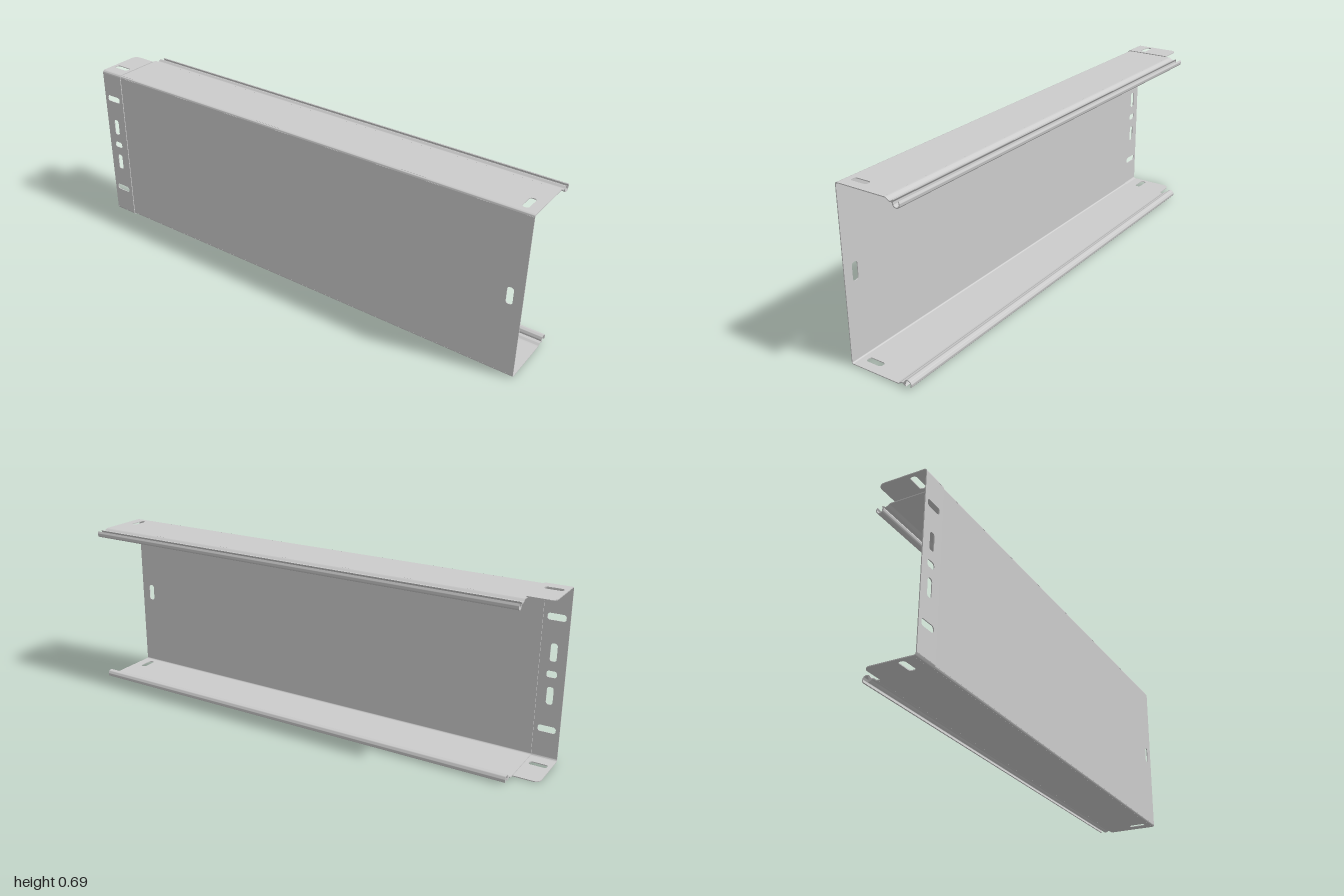
import * as THREE from 'three';
import { toCreasedNormals } from 'three/addons/utils/BufferGeometryUtils.js';

const T = 0.0035;            // sheet thickness
const H = 0.686;             // overall height
const BEND_Z = 0.12525;      // centre of the bends, shared by body and tongue
const BEND_Y = 0.67425;
const SLOT_L = 0.07, SLOT_W = 0.026;

const material = new THREE.MeshStandardMaterial({ color: 0xcccccc, side: THREE.DoubleSide });

function addMesh(group, name, geometry) {
  const mesh = new THREE.Mesh(geometry, material);
  mesh.name = name;
  group.add(mesh);
}

// Slot with softly rounded corners, centred on (cx, cy)
function slot(cx, cy, w, h) {
  const r = Math.min(w, h) * 0.4, x = cx - w / 2, y = cy - h / 2;
  const p = new THREE.Path();
  p.moveTo(x + r, y);
  p.lineTo(x + w - r, y);
  p.absarc(x + w - r, y + r, r, -Math.PI / 2, 0);
  p.lineTo(x + w, y + h - r);
  p.absarc(x + w - r, y + h - r, r, 0, Math.PI / 2);
  p.lineTo(x + r, y + h);
  p.absarc(x + r, y + h - r, r, Math.PI / 2, Math.PI);
  p.lineTo(x, y + r);
  p.absarc(x + r, y + r, r, Math.PI, Math.PI * 1.5);
  return p;
}

// Flat sheet from x0 to x1, v0 to v1; round = radius of the corner at (x0, v1)
function sheet(x0, x1, v0, v1, holes, round = 0) {
  const s = new THREE.Shape();
  s.moveTo(x0, v0);
  s.lineTo(x1, v0);
  s.lineTo(x1, v1);
  if (round) {
    s.lineTo(x0 + round, v1);
    s.absarc(x0 + round, v1 - round, round, Math.PI / 2, Math.PI);
  } else s.lineTo(x0, v1);
  s.holes = holes;
  const g = new THREE.ExtrudeGeometry(s, { depth: T, bevelEnabled: false, curveSegments: 8 });
  return toCreasedNormals(g, 0.6);
}

// Thin strip following a centre line of (z, y) points, run along x
function ribbon(points, x0, x1, bottom) {
  const line = points.map(([z, y]) => new THREE.Vector2(-z, bottom ? H - y : y));
  const a = [], b = [];
  line.forEach((p, i) => {
    const d = line[Math.min(i + 1, line.length - 1)].clone().sub(line[Math.max(i - 1, 0)]).normalize();
    const n = new THREE.Vector2(-d.y, d.x).multiplyScalar(T / 2);
    a.push(p.clone().add(n));
    b.unshift(p.clone().sub(n));
  });
  const g = new THREE.ExtrudeGeometry(new THREE.Shape([...a, ...b]), { depth: x1 - x0, bevelEnabled: false });
  g.rotateY(Math.PI / 2).translate(x0, 0, 0);
  return toCreasedNormals(g, 0.7);
}

function arc(cz, cy, r, from, to, steps) {
  return Array.from({ length: steps + 1 }, (_, i) => {
    const t = from + (to - from) * i / steps;
    return [cz + r * Math.cos(t), cy + r * Math.sin(t)];
  });
}

// U-shaped channel: web, two flanges and two bends; r = bend radius on the centre line
function channel(name, x0, x1, r, backZ, webSlots, flangeSlot, round) {
  const group = new THREE.Group();
  group.name = name;
  const web = sheet(x0, x1, H - BEND_Y, BEND_Y, webSlots);
  addMesh(group, name + 'Web', web.translate(0, 0, BEND_Z + r - T / 2));
  for (const bottom of [false, true]) {
    const side = bottom ? 'Bottom' : 'Top';
    const mid = bottom ? H - BEND_Y - r : BEND_Y + r;
    const flange = sheet(x0, x1, -BEND_Z, -backZ, [flangeSlot], round);
    addMesh(group, name + side + 'Flange', flange.rotateX(-Math.PI / 2).translate(0, mid - T / 2, 0));
    addMesh(group, name + side + 'Bend', ribbon(arc(BEND_Z, BEND_Y, r, 0, Math.PI / 2, 8), x0, x1, bottom));
  }
  return group;
}

export function createModel() {
  const model = new THREE.Group();
  model.name = 'cableTray';
  const mid = H / 2;

  // Main body with one slot in each wall at the far end
  const body = channel('body', -0.9, 1, 0.0065, -0.074,
    [slot(0.95, mid, SLOT_W, SLOT_L)], slot(0.95, -0.07, SLOT_W, SLOT_L), 0);
  model.add(body);

  // Slightly larger joining tongue that overlaps the next length
  const tongueSlots = [slot(-0.95, mid, 0.04, SLOT_W)];
  for (const s of [-1, 1]) {
    tongueSlots.push(slot(-0.95, mid + s * 0.085, SLOT_W, SLOT_L));
    tongueSlots.push(slot(-0.95, mid + s * 0.22, SLOT_L, SLOT_W));
  }
  model.add(channel('tongue', -1, -0.897, 0.0065 + T, -0.06,
    tongueSlots, slot(-0.95, -0.07, SLOT_L, SLOT_W), 0.025));

  // Rolled lips: a shallow groove followed by an open curl
  const y = BEND_Y + 0.0065;
  const groove = new THREE.CatmullRomCurve3([
    [-0.074, y], [-0.08, y - 0.0007], [-0.089, y - 0.007], [-0.097, y - 0.0098],
    [-0.104, y - 0.0065], [-0.1115, y - 0.0015]
  ].map(([z, v]) => new THREE.Vector3(z, v, 0))).getPoints(20).map(p => [p.x, p.y]);
  const curl = arc(-0.1212, 0.6683, 0.0142, Math.PI * 0.25, -Math.PI * 1.24, 28);
  // start the curl just past the end of the groove
  const lip = [...groove, ...curl.filter((p, i) => i > 0)];
  for (const bottom of [false, true]) {
    addMesh(model, bottom ? 'bottomLip' : 'topLip', ribbon(lip, -0.9, 1, bottom));
  }
  return model;
}
